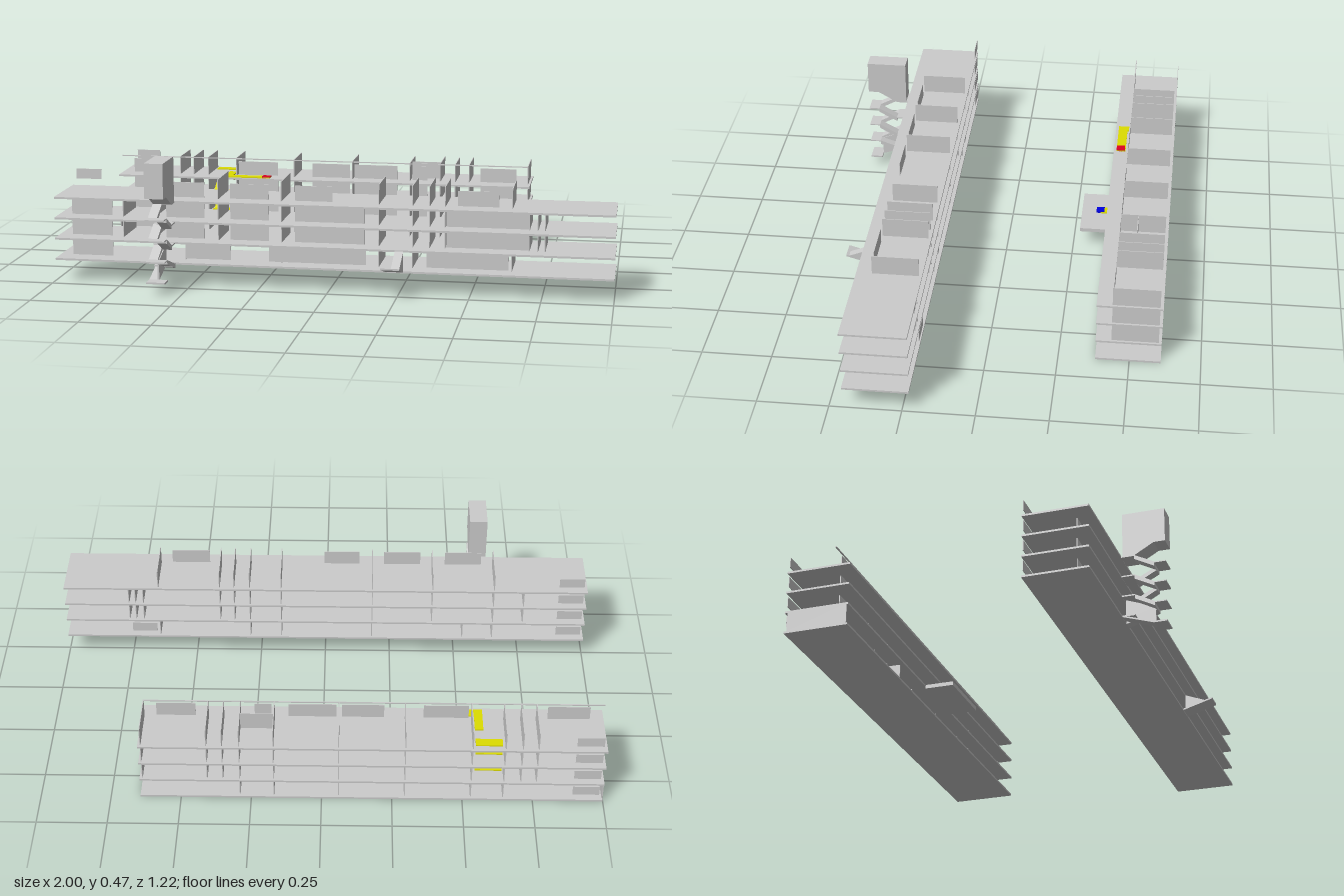
import * as THREE from 'three';

const mat = (color) => new THREE.MeshStandardMaterial({ color, flatShading: true, side: THREE.DoubleSide });
const grey = mat(0xcccccc), yellow = mat(0xdddd00), red = mat(0xdd0022), blue = mat(0x0000dd);

// Box given by its extents on each axis
function box(parent, name, [x0, x1], [y0, y1], [z0, z1], material = grey) {
  const mesh = new THREE.Mesh(new THREE.BoxGeometry(x1 - x0, y1 - y0, z1 - z0), material);
  mesh.position.set((x0 + x1) / 2, (y0 + y1) / 2, (z0 + z1) / 2);
  mesh.name = name;
  parent.add(mesh);
}

// Side profile of [z, y] points, extruded from x0 to x1
function prism(parent, name, points, x0, x1, material = grey) {
  const shape = new THREE.Shape(points.map(([z, y]) => new THREE.Vector2(-z, y)));
  const geo = new THREE.ExtrudeGeometry(shape, { depth: x1 - x0, bevelEnabled: false });
  geo.rotateY(Math.PI / 2);
  geo.translate(x0, 0, 0);
  const mesh = new THREE.Mesh(geo, material);
  mesh.name = name;
  parent.add(mesh);
}

// Sloping slab between two [z, y] points
function ramp(parent, name, [za, ya], [zb, yb], x0, x1, material = grey, t = 0.006) {
  prism(parent, name, [[za, ya], [zb, yb], [zb, yb - t], [za, ya - t]], x0, x1, material);
}

// A storeyed block: slabs, cross walls, window panels and floor plates
function building(name, { x, z, wallZ, panelZ, base, floors }) {
  const g = new THREE.Group();
  g.name = name;
  floors.forEach(({ walls, panels }, i) => {
    const y = base + i * 0.075, top = i === floors.length - 1;
    box(g, 'floorSlab', x, [y - 0.005, y + 0.002], z);
    const wallTop = y + (top ? 0.073 : 0.07);
    for (const wx of walls) box(g, 'crossWall', [wx - 0.0015, wx + 0.0015], [y, wallTop], wallZ);
    for (const p of panels) box(g, 'windowPanel', p, [y + 0.006, y + 0.06], [panelZ - 0.002, panelZ + 0.001]);
    box(g, 'floorPlate', [-0.985, -0.89], [y + 0.027, y + 0.064], [z[0], z[0] + 0.002]);
  });
  return g;
}

export function createModel() {
  const model = new THREE.Group();
  model.name = 'twinBuildings';

  // Front building
  const frontUpper = {
    walls: [-0.76, -0.645, -0.41, -0.18, 0.17, 0.29, 0.35, 0.405, 0.7, 0.73, 0.755],
    panels: [[-0.95, -0.8], [-0.6, -0.46], [-0.365, -0.225], [-0.13, 0.12], [0.41, 0.7]],
  };
  const front = building('frontBuilding', {
    x: [-1, 1], z: [0.225, 0.455], wallZ: [0.235, 0.4], panelZ: 0.4, base: 0.082,
    floors: [
      { walls: [-0.645, -0.53, -0.18, 0.17, 0.29, 0.64],
        panels: [[-0.95, -0.8], [-0.53, -0.365], [-0.225, 0.125], [0.34, 0.63]] },
      frontUpper, frontUpper,
      { walls: [-0.645, -0.41, -0.18, 0.17, 0.29, 0.35, 0.405, 0.64],
        panels: [[-0.6, -0.46], [-0.365, -0.225], [-0.13, 0.005], [0.45, 0.595]] },
    ],
  });
  box(front, 'sidePlate', [0.65, 0.745], [0.107, 0.145], [0.225, 0.227]);
  model.add(front);

  // Rear building
  const backWalls = [-0.76, -0.705, -0.645, -0.53, -0.295, -0.06, 0.17, 0.29, 0.35, 0.405, 0.635];
  const backFloor = {
    walls: backWalls,
    panels: [[-0.95, -0.8], [-0.52, -0.36], [-0.22, -0.07], [-0.05, 0.12], [0.18, 0.24], [0.45, 0.59]],
  };
  const back = building('backBuilding', {
    x: [-1, 0.645], z: [-0.61, -0.38], wallZ: [-0.6, -0.435], panelZ: -0.435, base: 0.007,
    floors: [
      { walls: [-0.645, -0.53, -0.295, -0.06, 0.17, 0.29], panels: [[-0.95, -0.69]] },
      backFloor, backFloor, backFloor,
    ],
  });
  box(back, 'endWall', [-1, -0.996], [0.007, 0.08], [-0.6, -0.385]);
  box(back, 'porchWall', [-0.532, -0.528], [0.007, 0.063], [-0.435, -0.385]);
  box(back, 'topRail', [-1, 0.635], [0.3, 0.304], [-0.438, -0.434]);
  box(back, 'shortPartition', [0.17, 0.29], [0.232, 0.3], [-0.501, -0.498]);
  box(back, 'canopy', [-0.3, -0.055], [0.07, 0.084], [-0.38, -0.275]);
  box(back, 'lobbyPlate', [-0.39, -0.31], [0.028, 0.056], [-0.437, -0.434]);
  box(back, 'lobbyPlate', [-0.05, 0.04], [0.03, 0.07], [-0.437, -0.434]);
  model.add(back);

  // Outside stair tower: return flights with landings, and a hood on top
  const tower = new THREE.Group();
  tower.name = 'stairTower';
  const L = -0.622, M = -0.589, R = -0.555;
  prism(tower, 'towerHood', [[0.46, 0.305], [0.5, 0.305], [0.57, 0.345], [0.61, 0.345], [0.61, 0.47], [0.46, 0.47]], L, R);
  for (let i = 0; i < 3; i++) {
    const y = 0.082 + i * 0.075, mid = y + 0.038, inner = i ? 0.5 : 0.46;
    box(tower, 'innerLanding', [L, R], [y - 0.004, y + 0.001], [0.455, 0.5]);
    box(tower, 'outerLanding', [L, R], [mid - 0.004, mid], [0.57, 0.61]);
    ramp(tower, 'lowerFlight', [inner, y], [0.57, mid], M, R, grey, 0.016);
    ramp(tower, 'upperFlight', [0.57, mid], [0.5, y + 0.075], L, M, grey, 0.016);
  }
  box(tower, 'innerLanding', [L, R], [0.303, 0.308], [0.455, 0.5]);
  prism(tower, 'stairBase', [[0.565, 0.045], [0.565, 0.115], [0.46, 0.155], [0.46, 0.08]], M - 0.003, M + 0.003);
  ramp(tower, 'bottomFlight', [0.565, 0.047], [0.46, 0.082], L, M);
  box(tower, 'bottomLanding', [L, R], [0.041, 0.047], [0.565, 0.61]);
  model.add(tower);

  // Small outside stair
  const stair = new THREE.Group();
  stair.name = 'smallStair';
  ramp(stair, 'lowerFlight', [0.455, 0.086], [0.565, 0.118], 0.2, 0.265);
  prism(stair, 'upperFlight', [[0.455, 0.082], [0.555, 0.115], [0.455, 0.155]], 0.235, 0.265);
  model.add(stair);

  // Coloured walking route, with its indoor stairs and end markers
  const route = new THREE.Group();
  route.name = 'route';
  const strip = (x, z, y) => box(route, 'routeStrip', x, [y, y + 0.004], z, yellow);
  strip([-0.57, -0.18], [-0.425, -0.39], 0.084);
  strip([-0.2, -0.165], [-0.425, -0.345], 0.085);
  strip([-0.57, -0.385], [-0.425, -0.39], 0.234);
  strip([-0.57, -0.54], [-0.5, -0.39], 0.234);
  strip([-0.635, -0.54], [-0.5, -0.465], 0.084);
  strip([-0.57, -0.54], [-0.5, -0.39], 0.084);
  strip([-0.635, -0.54], [-0.5, -0.465], 0.159);
  for (const y of [0.086, 0.161]) {
    ramp(route, 'routeFlight', [-0.49, y], [-0.555, y + 0.037], -0.635, -0.605, yellow);
    strip([-0.635, -0.54], [-0.585, -0.55], y + 0.034);
    ramp(route, 'routeFlight', [-0.555, y + 0.037], [-0.49, y + 0.075], -0.57, -0.54, yellow);
  }
  strip([-0.635, -0.54], [-0.585, -0.55], 0.234);
  box(route, 'endMarker', [-0.417, -0.385], [0.234, 0.241], [-0.422, -0.39], red);
  box(route, 'startMarker', [-0.198, -0.167], [0.085, 0.092], [-0.36, -0.33], blue);
  model.add(route);

  return model;
}
